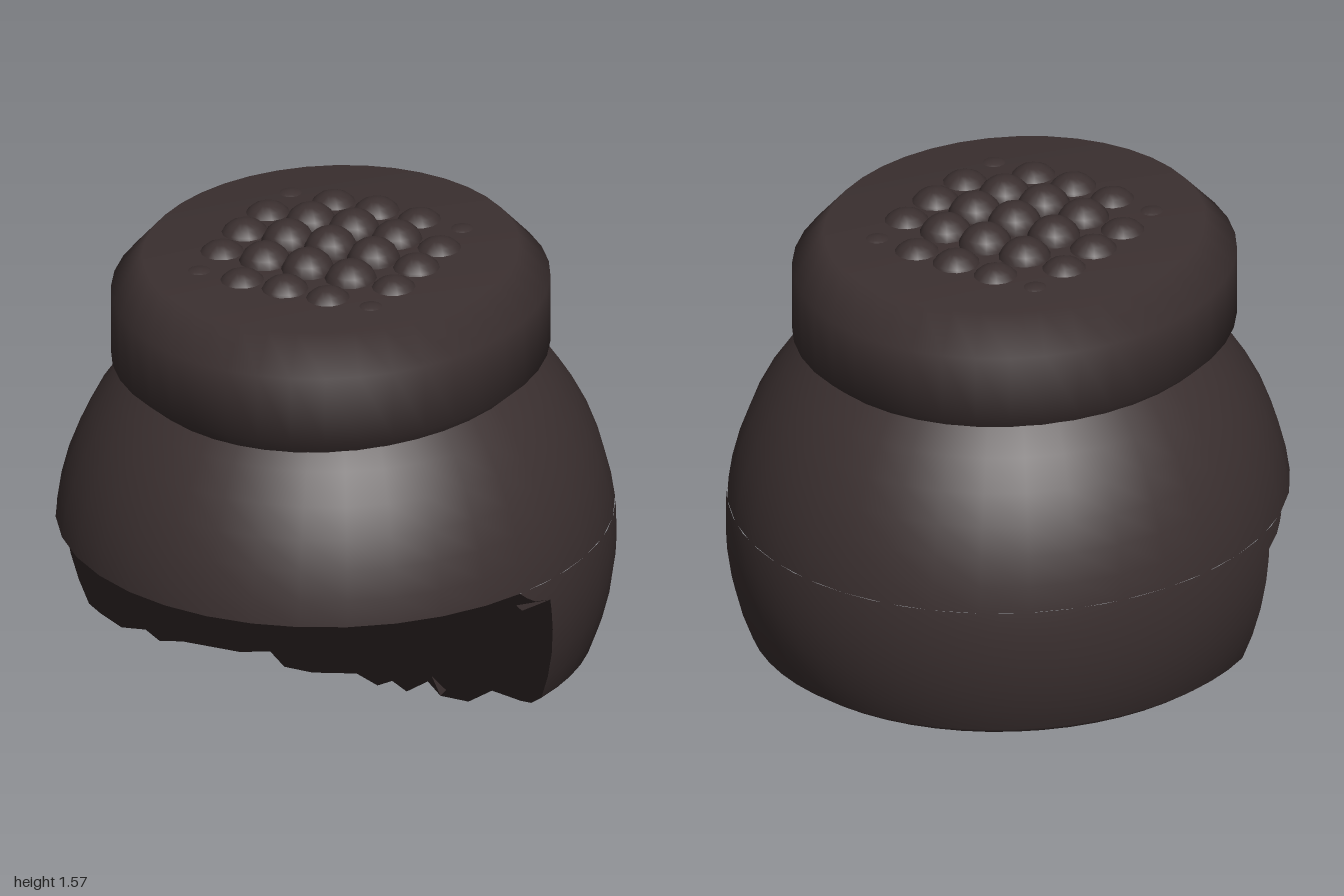
import * as THREE from 'three';

const RX = 0.95, RY = 0.96, RZ = 1.0, CY = 0.41; // main ellipsoid
const CUT = 0.51;                                // height of the fringe underside

const hair = new THREE.MeshStandardMaterial({ color: 0x3b3030 });
hair.name = 'dark brown hair';

// Ellipsoid radius factor at a height, with a small bevel at the base
const ringScale = y => (y < 0.03 ? 0.875 + 1.6 * y : Math.sqrt(1 - ((y - CY) / RY) ** 2));

const ringPoint = (t, y) => {
  const s = ringScale(y);
  return new THREE.Vector3(RX * s * Math.cos(t), y, RZ * s * Math.sin(t));
};
const ellipsoidNormal = p => new THREE.Vector3(
  p.x / RX ** 2, (p.y - CY) / RY ** 2 - (p.y < 0.02 ? 0.5 : 0), p.z / RZ ** 2).normalize();

// Surface through rows of points; every row has the same number of points
function loft(rows, normalAt) {
  const pos = [], nor = [], idx = [], n = rows[0].length;
  rows.forEach((row, r) => row.forEach((p, c) => {
    pos.push(p.x, p.y, p.z);
    nor.push(...normalAt(p).toArray());
    if (r < rows.length - 1 && c < n - 1) {
      const a = r * n + c;
      idx.push(a, a + 1, a + n, a + 1, a + n + 1, a + n);
    }
  }));
  const g = new THREE.BufferGeometry();
  g.setAttribute('position', new THREE.Float32BufferAttribute(pos, 3));
  g.setAttribute('normal', new THREE.Float32BufferAttribute(nor, 3));
  g.setIndex(idx);
  return g;
}

// Flat downward-facing plate bounded by points at one height
function plate(points, y) {
  const shape = new THREE.Shape(points.map(p => new THREE.Vector2(p.x, p.z)));
  return new THREE.ShapeGeometry(shape).rotateX(Math.PI / 2).translate(0, y, 0);
}

// Points on a ring between two angles
const arc = (t0, t1, y, n) =>
  Array.from({ length: n + 1 }, (_, i) => ringPoint(t0 + (t1 - t0) * i / n, y));

// Depth of the front corner of the lower hair, flaring forward under the fringe
const cornerZ = y => (y <= 0.44 ? 0.15 + 0.16 * y : 0.22 + 0.14 * Math.sqrt((y - 0.44) / 0.07));
const cornerAngle = y => Math.asin(cornerZ(y) / (RZ * ringScale(y)));

// Jagged lower edge of the front wall: x as a fraction of half width, z
const JAGS = [
  [-0.86, 0.22], [-0.76, 0.2], [-0.66, 0.26], [-0.57, 0.23], [-0.31, 0.22], [-0.2, 0.17],
  [-0.08, 0.26], [0.05, 0.26], [0.22, 0.2], [0.35, 0.255], [0.385, 0.2], [0.485, 0.255],
  [0.52, 0.15], [0.63, 0.235], [0.76, 0.235], [0.8, 0.12], [0.95, 0.15],
];

function wallRow(y) {
  const end = ringPoint(cornerAngle(y), y);
  const inner = JAGS.map(([u, z]) =>
    new THREE.Vector3(u * end.x, y, THREE.MathUtils.lerp(z, 0.375, y / CUT)));
  return [new THREE.Vector3(-end.x, y, end.z), ...inner, end];
}

export function createModel() {
  const model = new THREE.Group();
  model.name = 'hairWithTopknot';
  const add = (name, geometry, parent = model) => {
    const mesh = new THREE.Mesh(geometry, hair);
    mesh.name = name;
    parent.add(mesh);
    return mesh;
  };

  // Upper dome, hidden at the top inside the cap
  const upper = [CUT, 0.6, 0.7, 0.8, 0.9, 1.0, 1.08, 1.15, 1.22];
  add('upperHair', loft(upper.map(y => arc(0, -2 * Math.PI, y, 36)), ellipsoidNormal));

  // Lower hair around the sides and back
  const lower = [0, 0.03, 0.12, 0.22, 0.32, 0.4, 0.44, 0.46, 0.485, CUT];
  add('lowerHair', loft(lower.map(y => {
    const t = cornerAngle(y);
    return arc(t, -Math.PI - t, y, 32);
  }), ellipsoidNormal));

  // Jagged wall below the fringe, softly shaded into the undersides
  const wallNormal = new THREE.Vector3(0, -0.92, 0.39).normalize();
  add('frontWall', loft(lower.map(wallRow), () => wallNormal));

  // Underside of the fringe and base
  const tTop = cornerAngle(CUT), tBase = cornerAngle(0);
  add('fringeUnderside',
    plate([...wallRow(CUT), ...arc(tTop, Math.PI - tTop, CUT, 24).slice(1, -1)], CUT));
  add('baseUnderside',
    plate([...wallRow(0), ...arc(tBase, -Math.PI - tBase, 0, 32).slice(1, -1)], 0));

  // Chamfered oval cap
  const profile = [[0.55, 0.96], [0.735, 1.13], [0.735, 1.37], [0.63, 1.49], [0, 1.49]]
    .map(([r, y]) => new THREE.Vector2(r, y));
  const cap = add('cap', new THREE.LatheGeometry(profile, 40));
  cap.scale.z = 1.1;
  cap.position.z = 0.035;

  // Grid of curls following a shallow dome on the cap
  const curls = new THREE.Group();
  curls.name = 'curls';
  model.add(curls);
  const curl = new THREE.SphereGeometry(0.093, 14, 10);
  for (let i = -2; i <= 2; i++) {
    for (let j = -2; j <= 2; j++) {
      const x = i * 0.163;
      const top = 1.573 - 0.0092 * (i * i + j * j);
      const mesh = add('curl', curl, curls);
      mesh.position.set(x, top - 0.093, 0.035 + j * 0.176);
      mesh.scale.z = 1.06;
    }
  }
  return model;
}
